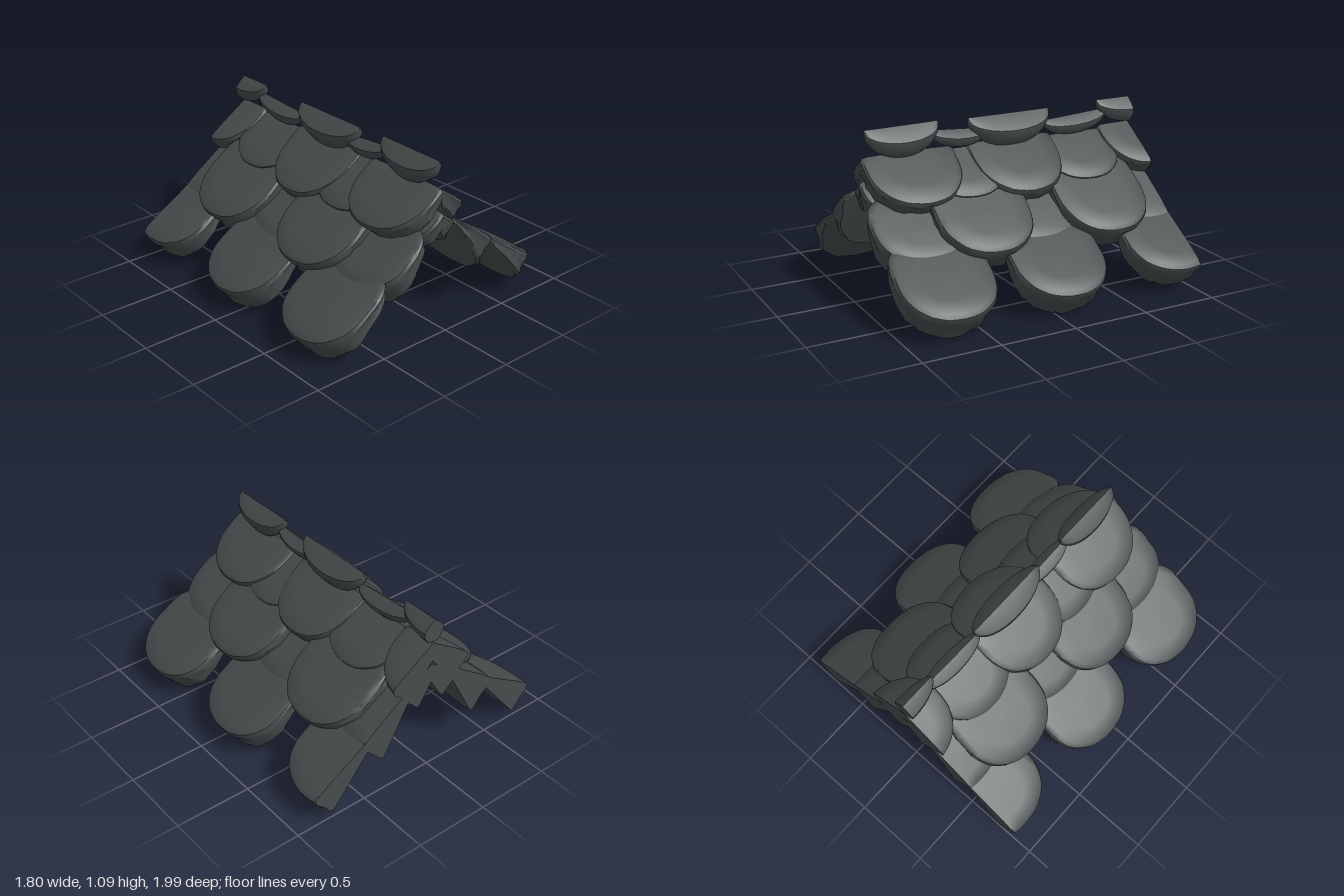
import * as THREE from 'three';
import { toCreasedNormals } from 'three/addons/utils/BufferGeometryUtils.js';

const slate = new THREE.MeshStandardMaterial({ color: 0x454b4b });
slate.name = 'dark slate';

let seed = 7;
const rnd = () => (seed = (seed * 16807) % 2147483647) / 2147483647;
const lerp = THREE.MathUtils.lerp;

// Joins loops of equal length into a closed surface; flip reverses the faces
function skin(loops, flip) {
  const n = loops[0].length, index = [];
  const face = (a, b, c) => index.push(...(flip ? [a, c, b] : [a, b, c]));
  for (let i = 0; i < loops.length - 1; i++) {
    for (let j = 0; j < n; j++) {
      const a = i * n + j, b = i * n + (j + 1) % n;
      if (i > 0) face(a, b, a + n);
      if (i < loops.length - 2) face(b, b + n, a + n);
    }
  }
  const g = new THREE.BufferGeometry();
  g.setAttribute('position', new THREE.Float32BufferAttribute(loops.flat(2), 3));
  g.setIndex(index);
  return toCreasedNormals(g, 0.65);
}

// Rounded wedge tile: thin at the root, thick at the tip, trimmed at the ridge and the back
// Rings run from the middle of the upper face, over the rim, to the middle of the lower face:
// [size, depth between upper and lower face, roughness]
const RINGS = [[0, 0, 0], [0.55, 0, 0], [0.86, 0.02, 0], [0.96, 0.09, 0.01], [1, 0.24, 0.015],
  [0.99, 0.55, 0.05], [1, 0.88, 0.05], [0.95, 1, 0.05], [0.5, 1, 0.02], [0, 1, 0]];

function shingle({ root, top, bottom, half }, zc, side) {
  const n = 40;
  const loops = RINGS.map(([size, depth, rough]) => {
    const x0 = root[0], y0 = root[1] - 0.03 * depth;
    const x1 = lerp(top[0], bottom[0], depth), y1 = lerp(top[1], bottom[1], depth);
    const uMin = Math.max(0, -x0 / (x1 - x0));
    return Array.from({ length: n }, (_, j) => {
      const t = (j / n) * Math.PI * 2, c = Math.cos(t), s = Math.sin(t);
      const r = size * (1 - rough * rnd());
      // round tip, squarer root
      const power = c > 0 ? 0.92 : 0.55;
      const u = Math.max(uMin, 0.5 + 0.5 * r * Math.sign(c) * Math.abs(c) ** power);
      const v = r * Math.sign(s) * Math.abs(s) ** power;
      return [side * lerp(x0, x1, u), lerp(y0, y1, u), Math.max(-1, zc + v * half)];
    });
  });
  return skin(loops, side < 0);
}

// Boat-shaped ridge cap with a sharp crest
function ridgeCap({ z0, z1, y0, y1, width, depth }) {
  const section = [[0, 0], [0.55, -0.22], [1, -0.46], [0.95, -0.7], [0.45, -1],
    [-0.45, -1], [-0.95, -0.7], [-1, -0.46], [-0.55, -0.22]];
  const n = 16, loops = [];
  for (let i = 0; i <= n; i++) {
    const a = -Math.cos((i / n) * Math.PI);
    const s = Math.max(0.06, Math.sqrt(Math.max(0, 1 - a * a)));
    const k = (a + 1) / 2;
    const z = Math.max(-1, lerp(z0, z1, k)), y = lerp(y0, y1, k);
    loops.push(section.map(([px, py]) => [px * width * s, y + py * depth * (0.15 + 0.85 * s), z]));
  }
  // closed ends
  const mid = (l) => l.map(() => [0, l[0][1] - 0.01, l[0][2]]);
  return skin([mid(loops[0]), ...loops, mid(loops[n])], true);
}

export function createModel() {
  const model = new THREE.Group();
  model.name = 'shingledRoof';

  // Courses from the eaves up to the ridge, in staggered columns
  const even = [0.68, -0.08, -0.9], odd = [0.29, -0.55];
  const courses = [
    { name: 'eavesShingle', root: [0.40, 0.485], top: [0.925, 0.17], bottom: [0.78, -0.015], half: 0.315, zs: [0.68, -0.08] },
    { name: 'eavesBackShingle', root: [0.40, 0.485], top: [0.905, 0.18], bottom: [0.76, 0.01], half: 0.32, zs: [-0.9] },
    { name: 'lowerUnderShingle', root: [0.12, 0.70], top: [0.55, 0.4], bottom: [0.37, 0.21], half: 0.315, zs: even },
    { name: 'lowerShingle', root: [0.12, 0.79], top: [0.655, 0.42], bottom: [0.5, 0.25], half: 0.32, zs: odd },
    { name: 'upperUnderShingle', root: [-0.12, 0.86], top: [0.23, 0.6], bottom: [0.1, 0.475], half: 0.3, zs: [0.65, -0.08, -0.95] },
    { name: 'upperHalfShingle', root: [-0.15, 1.0], top: [0.33, 0.675], bottom: [0.19, 0.525], half: 0.29, zs: odd },
    { name: 'upperShingle', root: [-0.18, 1.04], top: [0.375, 0.67], bottom: [0.24, 0.51], half: 0.31, zs: [-0.09] },
    { name: 'upperFrontShingle', root: [-0.18, 1.04], top: [0.355, 0.685], bottom: [0.23, 0.55], half: 0.315, zs: [0.62] },
    { name: 'upperBackShingle', root: [-0.18, 1.04], top: [0.32, 0.71], bottom: [0.19, 0.56], half: 0.3, zs: [-1.05] },
  ];
  for (const course of courses) {
    for (const z of course.zs) {
      for (const side of [1, -1]) {
        const mesh = new THREE.Mesh(shingle(course, z, side), slate);
        mesh.name = (side > 0 ? 'left ' : 'right ') + course.name;
        model.add(mesh);
      }
    }
  }

  // Ridge caps: large ones over smaller, slightly tilted ones
  const caps = [
    { name: 'ridgeCap', z0: 0.41, z1: 0.9, y0: 1.09, y1: 1.085, width: 0.09, depth: 0.19 },
    { name: 'ridgeCap', z0: -0.38, z1: 0.2, y0: 1.08, y1: 1.08, width: 0.105, depth: 0.2 },
    { name: 'ridgeCap', z0: -1.22, z1: -0.75, y0: 1.09, y1: 1.09, width: 0.075, depth: 0.16 },
    { name: 'smallRidgeCap', z0: 0.08, z1: 0.47, y0: 1.005, y1: 1.035, width: 0.06, depth: 0.11 },
    { name: 'smallRidgeCap', z0: -0.82, z1: -0.34, y0: 1.03, y1: 1.0, width: 0.068, depth: 0.12 },
  ];
  for (const cap of caps) {
    const mesh = new THREE.Mesh(ridgeCap(cap), slate);
    mesh.name = cap.name;
    model.add(mesh);
  }
  return model;
}
